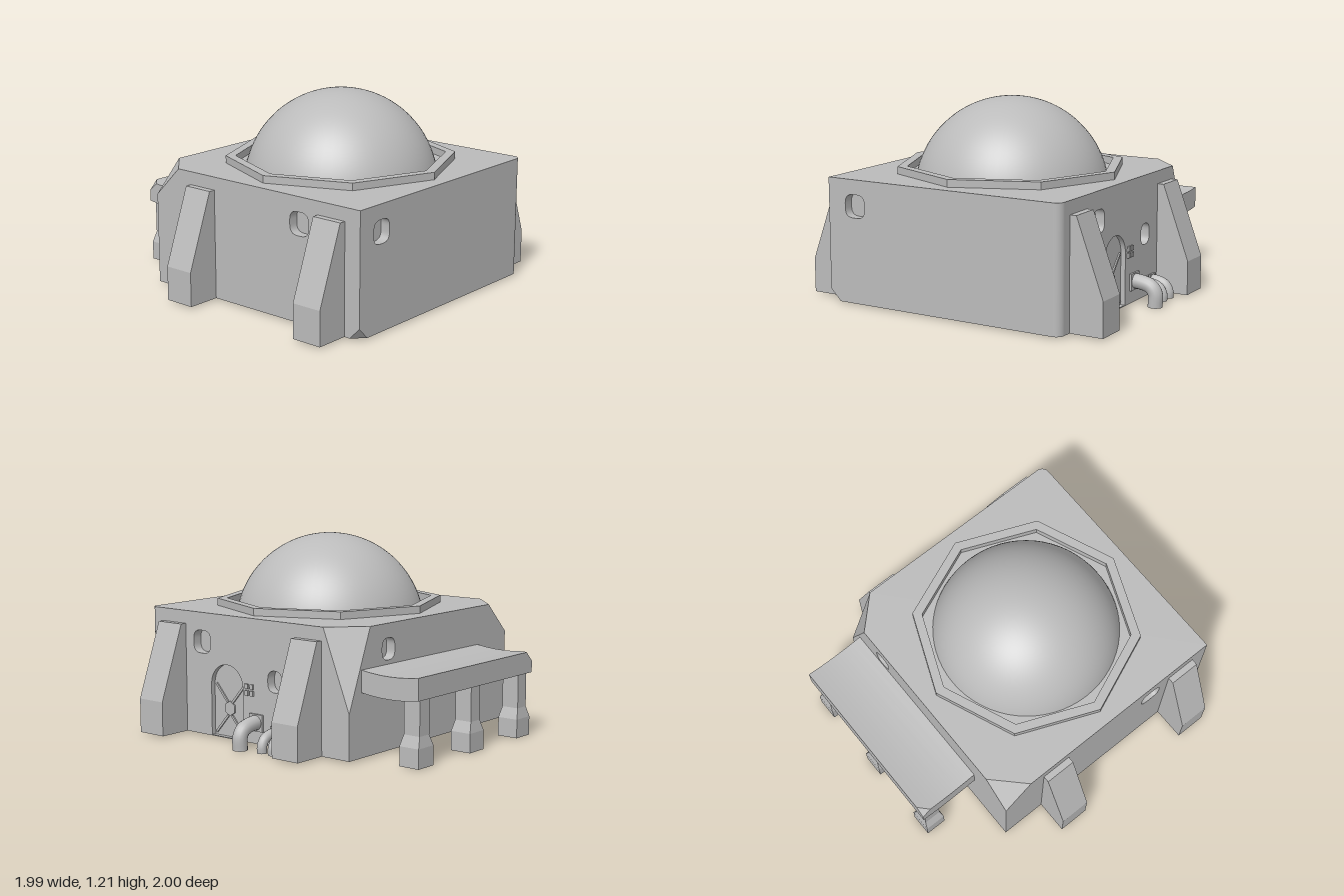
import * as THREE from 'three';
import { toCreasedNormals } from 'three/addons/utils/BufferGeometryUtils.js';

const stone = new THREE.MeshStandardMaterial({ color: 0xbbbbbb, side: THREE.DoubleSide });
stone.name = 'pale grey';

const BASE = 0.01, TOP = 0.76;

function add(parent, name, geometry, x = 0, y = 0, z = 0) {
  const mesh = new THREE.Mesh(geometry, stone);
  mesh.name = name;
  mesh.position.set(x, y, z);
  parent.add(mesh);
  return mesh;
}

// Skin between successive rows of points, flat shaded unless a crease angle is given
function loft(rows, closed = false, crease = 0) {
  const pos = [];
  for (let i = 0; i < rows.length - 1; i++) {
    const a = rows[i], b = rows[i + 1], n = a.length;
    for (let j = 0; j < (closed ? n : n - 1); j++) {
      const k = (j + 1) % n;
      for (const p of [a[j], b[j], b[k], a[j], b[k], a[k]]) pos.push(...p);
    }
  }
  const g = new THREE.BufferGeometry();
  g.setAttribute('position', new THREE.Float32BufferAttribute(pos, 3));
  g.computeVertexNormals();
  return crease ? toCreasedNormals(g, crease) : g;
}

const polygon = (pts) => new THREE.Shape(pts.map(([x, y]) => new THREE.Vector2(x, y)));
const rect = (x0, x1, y0, y1) => polygon([[x0, y0], [x1, y0], [x1, y1], [x0, y1]]);

// Rounded window outline
function windowShape(cx, cy, w = 0.14, h = 0.14) {
  const s = new THREE.Shape(), r = 0.055, x = w / 2, y = h / 2;
  s.moveTo(cx - x + r, cy - y);
  s.lineTo(cx + x - r, cy - y);
  s.quadraticCurveTo(cx + x, cy - y, cx + x, cy - y + r);
  s.lineTo(cx + x, cy + y - r);
  s.quadraticCurveTo(cx + x, cy + y, cx + x - r, cy + y);
  s.lineTo(cx - x + r, cy + y);
  s.quadraticCurveTo(cx - x, cy + y, cx - x, cy + y - r);
  s.lineTo(cx - x, cy - y + r);
  s.quadraticCurveTo(cx - x, cy - y, cx - x + r, cy - y);
  return s;
}

// Arched doorway outline
function doorShape(cx, w, h) {
  const s = new THREE.Shape(), r = w / 2;
  s.moveTo(cx - r, BASE + 0.005);
  s.lineTo(cx + r, BASE + 0.005);
  s.lineTo(cx + r, h - r);
  s.absarc(cx, h - r, r, 0, Math.PI, false);
  return s;
}

// Wall in its own plane, with recessed openings and plain cut-outs
function wall(parent, name, outline, turn, distance, recesses, cutouts = []) {
  const group = new THREE.Group();
  group.name = name;
  group.rotation.y = turn;
  group.position.set(Math.sin(turn) * distance, 0, Math.cos(turn) * distance);
  parent.add(group);
  const shape = polygon(outline);
  shape.holes.push(...cutouts);
  for (const { label, shape: hole, depth } of recesses) {
    shape.holes.push(hole);
    const pts = hole.getPoints(8);
    const row = (z) => pts.map((p) => [p.x, p.y, z]);
    add(group, label + 'Reveal', loft([row(0), row(-depth)], true, 0.6));
    add(group, label + 'Pane', new THREE.ShapeGeometry(hole, 8), 0, 0, -depth);
  }
  add(group, name + 'Panel', new THREE.ShapeGeometry(shape, 8));
  return group;
}

// Sloping buttress, open underneath and against the wall
function buttress(parent, x, front) {
  const profile = [[0, 0.68], [0.04, 0.68], [0.21, 0.22], [0.21, BASE]];
  const group = new THREE.Group();
  group.name = 'buttress';
  group.position.set(x, 0, front ? 0.79 : -0.79);
  group.rotation.y = front ? 0 : Math.PI;
  parent.add(group);
  const edge = (s) => profile.map(([z, y]) => [s * 0.0975, y, z]);
  add(group, 'buttressFace', loft([edge(1), edge(-1)]));
  const side = new THREE.ShapeGeometry(polygon([[0, BASE], ...profile]));
  for (const s of [-1, 1]) add(group, 'buttressSide', side, s * 0.0975).rotation.y = -Math.PI / 2;
}

export function createModel() {
  const model = new THREE.Group();
  model.name = 'domedBuilding';
  const win = (x, y, w, h) => ({ label: 'window', shape: windowShape(x, y, w, h), depth: 0.06 });
  const slot = (x) => rect(x - 0.0975, x + 0.0975, BASE + 0.002, 0.68);

  // Hollow body, open below
  const body = new THREE.Group();
  body.name = 'body';
  model.add(body);
  wall(body, 'frontWall',
    [[-0.6, BASE], [0.92, BASE], [0.99, 0.08], [0.99, TOP], [-0.41, TOP], [-0.6, 0.57]],
    0, 0.79, [win(0.55, 0.6)], [slot(-0.21), slot(0.785)]);
  wall(body, 'leftWall',
    [[-0.72, BASE], [0.74, BASE], [0.74, TOP], [-0.79, TOP], [-0.79, 0.08]],
    Math.PI / 2, 0.99, [win(-0.6, 0.6)]);
  const back = wall(body, 'backWall',
    [[-0.94, BASE], [0.6, BASE], [0.6, 0.28], [0.41, TOP], [-0.94, TOP]],
    Math.PI, 0.79,
    [win(-0.55, 0.58), win(0.04, 0.4, 0.11, 0.13),
      { label: 'door', shape: doorShape(-0.345, 0.26, 0.46), depth: 0.03 }],
    [slot(0.3), slot(-0.785)]);
  wall(body, 'rightWall',
    [[-0.79, BASE], [0.79, BASE], [0.79, 0.57], [0.6, TOP], [-0.6, TOP], [-0.79, 0.28]],
    -Math.PI / 2, 0.6, [win(-0.43, 0.61, 0.12, 0.13)]);

  // Roof with one rounded and two clipped corners
  const roof = polygon([[-0.6, -0.6], [-0.41, -0.79], [0.99, -0.79], [0.99, 0.74]]);
  roof.absarc(0.94, 0.74, 0.05, 0, Math.PI / 2, false);
  roof.lineTo(-0.41, 0.79);
  roof.lineTo(-0.6, 0.6);
  add(body, 'roof', new THREE.ShapeGeometry(roof, 8), 0, TOP, 0).rotation.x = -Math.PI / 2;
  add(body, 'roundedCorner',
    new THREE.CylinderGeometry(0.05, 0.05, TOP - BASE, 8, 1, true, Math.PI / 2, Math.PI / 2),
    0.94, (TOP + BASE) / 2, -0.74);

  // Clipped corners
  const corners = [
    [[-0.6, 0.57, 0.79], [-0.41, TOP, 0.79], [-0.6, TOP, 0.6]],
    [[-0.6, 0.28, -0.79], [-0.6, TOP, -0.6], [-0.41, TOP, -0.79]],
    [[0.92, BASE, 0.79], [0.99, BASE, 0.72], [0.99, 0.08, 0.79]],
  ];
  for (const c of corners) {
    const g = new THREE.BufferGeometry().setFromPoints(c.map((p) => new THREE.Vector3(...p)));
    g.computeVertexNormals();
    add(body, 'clippedCorner', g);
  }

  // Buttresses
  for (const [x, front] of [[-0.21, true], [0.785, true], [-0.3, false], [0.785, false]]) {
    buttress(model, x, front);
  }

  // Dome and octagonal curb
  const curb = [[0.645, TOP], [0.705, TOP], [0.705, 0.805], [0.645, 0.805], [0.645, TOP]];
  const ring = new THREE.LatheGeometry(curb.map(([r, y]) => new THREE.Vector2(r, y)), 8);
  add(model, 'domeCurb', toCreasedNormals(ring, 0.1), 0.2);
  add(model, 'dome',
    new THREE.SphereGeometry(0.595, 64, 24, 0, Math.PI * 2, 0, Math.acos(0.145 / 0.595)),
    0.2, 0.615, 0);

  // Door bracing, hub and call buttons
  for (const [x, y, len, angle] of [
    [-0.41, 0.09, 0.15, 0.85], [-0.28, 0.09, 0.15, -0.85],
    [-0.41, 0.28, 0.14, -0.85], [-0.28, 0.28, 0.14, 0.85],
  ]) {
    add(back, 'doorBrace', new THREE.BoxGeometry(len, 0.014, 0.009), x, y, -0.026).rotation.z = angle;
  }
  add(back, 'doorHub', new THREE.CylinderGeometry(0.045, 0.045, 0.009, 6), -0.345, 0.19, -0.025)
    .rotation.x = Math.PI / 2;
  for (const x of [-0.18, -0.14]) {
    for (const y of [0.31, 0.35]) {
      add(back, 'callButton', new THREE.BoxGeometry(0.025, 0.03, 0.012), x, y, 0.005);
    }
  }

  // Pipes bending from the back wall to the ground
  for (const [x, r, reach, h] of [[-0.13, 0.03, 0.12, 0.1], [-0.045, 0.03, 0.12, 0.1], [0.105, 0.045, 0.145, 0.14]]) {
    const path = new THREE.CatmullRomCurve3([
      [0.78, h], [0.83, h], [0.79 + reach * 0.8, h - 0.02], [0.79 + reach, h - 0.06], [0.79 + reach, 0],
    ].map(([z, y]) => new THREE.Vector3(x, y, -z)));
    add(model, 'pipe', new THREE.TubeGeometry(path, 20, r, 14));
    add(model, 'pipeFlange', new THREE.BoxGeometry(r * 2.3, r * 2.3, 0.015), x, h, -0.795);
  }

  // Side canopy with a sagging slab and one clipped corner
  const section = (x) => {
    const sag = 0.016 * (1 - ((x + 0.8) / 0.2) ** 2);
    const top = 0.52 - sag, low = 0.39 - sag, cut = x === -1 ? 0.06 : 0;
    return [[x, top, -0.68], [x, top, 0.48 - cut], [x, top - cut, 0.48], [x, low, 0.48], [x, low, -0.68]];
  };
  const xs = [-1, -0.94, -0.87, -0.8, -0.73, -0.66, -0.6];
  add(model, 'canopy', loft(xs.map(section), true, 0.2));
  const end = polygon(section(-1).map(([, y, z]) => [z, y]));
  add(model, 'canopyEdge', new THREE.ShapeGeometry(end), -1).rotation.y = -Math.PI / 2;

  // Canopy legs with flared, hollow feet
  const leg = loft([[0.4, 0.055, 0.045], [0.18, 0.055, 0.045], [0.115, 0.067, 0.07], [0, 0.067, 0.07]]
    .map(([y, w, d]) => [[-w, y, -d], [-w, y, d], [w, y, d], [w, y, -d]]), true);
  for (const z of [0.41, -0.09, -0.59]) add(model, 'canopyLeg', leg, -0.922, 0, z);

  return model;
}
